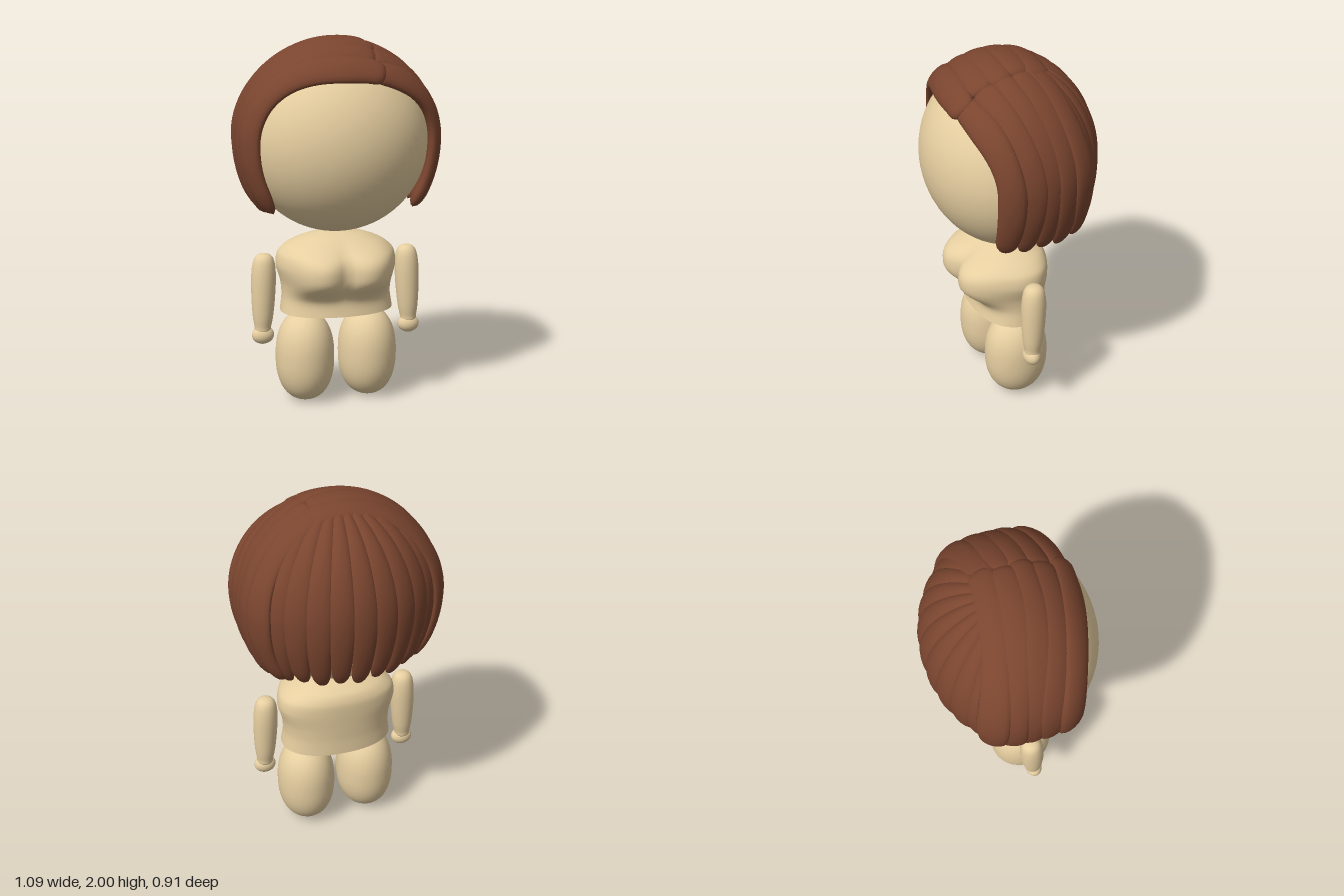
import * as THREE from 'three';
import { mergeVertices } from 'three/addons/utils/BufferGeometryUtils.js';

const skin = new THREE.MeshStandardMaterial({ color: 0xe6cea0 });
const hairMat = new THREE.MeshStandardMaterial({ color: 0x7a452f });

// Smooth grid surface from point(u, v); u runs along, v runs around
function surface(point, nu, nv) {
  const pos = [], idx = [];
  for (let i = 0; i <= nu; i++) {
    for (let j = 0; j <= nv; j++) {
      const p = point(i / nu, ((j % nv) / nv) * Math.PI * 2);
      pos.push(p.x, p.y, p.z);
      if (i < nu && j < nv) {
        const a = i * (nv + 1) + j, b = a + nv + 1;
        idx.push(a, b, a + 1, b, b + 1, a + 1);
      }
    }
  }
  let g = new THREE.BufferGeometry();
  g.setAttribute('position', new THREE.Float32BufferAttribute(pos, 3));
  g.setIndex(idx);
  g = mergeVertices(g, 1e-5);
  g.computeVertexNormals();
  return g;
}

function add(parent, name, geometry, material, x = 0, y = 0, z = 0) {
  const m = new THREE.Mesh(geometry, material);
  m.name = name;
  m.position.set(x, y, z);
  parent.add(m);
  return m;
}

// Hair shell: an ellipsoid whose lower half hangs straighter
const C = new THREE.Vector3(0, 1.46, 0.01);
const RX = 0.515, RY = 0.505, RLOW = 0.62, RZ = 0.437, DROP = 0.365;
const vertical = (c) => (c > 0 ? RY : RLOW) * c;
const smooth = THREE.MathUtils.smoothstep;
const lerp = THREE.MathUtils.lerp;
const slice = (z, e) => (1 - Math.abs(z / RZ) ** e) ** (1 / e);

function shellNormal(p) {
  const d = p.clone().sub(C), ry = d.y > 0 ? RY : RLOW;
  return new THREE.Vector3(d.x / RX ** 2, d.y / ry ** 2, d.z / RZ ** 2).normalize();
}

// Flattened lock with rounded ends, following a path on the shell
function lock(path, width, thick, lift) {
  return surface((t, v) => {
    const p = path(t), n = shellNormal(p);
    const tan = path(Math.min(1, t + 0.01)).sub(path(Math.max(0, t - 0.01))).normalize();
    const side = tan.clone().cross(n).normalize();
    const start = Math.sqrt(1 - (1 - Math.min(1, t / 0.05)) ** 2);
    const tip = Math.sqrt(Math.max(0, 1 - Math.max(0, (t - 0.9) / 0.1) ** 2));
    const k = start * tip;
    return p.addScaledVector(side, Math.cos(v) * width(t) * k)
      .addScaledVector(n, Math.sin(v) * thick * k + lift * (1 - t));
  }, 56, 16);
}

// Path from the parting over the side of the head, sign +1 left, -1 right
function sidePath(sign, partX, zTop, zEnd, hem) {
  const sTop = slice(zTop, 2.7), sEnd = slice(zEnd, 2);
  const from = Math.asin(partX / (RX * sTop));
  const to = sign * Math.acos(-(DROP + hem) / (RLOW * sEnd));
  return (t) => {
    const z = lerp(zTop, zEnd, sign > 0 ? smooth(t, -0.1, 0.65) : smooth(t, 0.12, 0.72));
    const a = lerp(from, to, t);
    return new THREE.Vector3(RX * slice(z, 2.7) * Math.sin(a),
      vertical(slice(z, 2) * Math.cos(a)), z).add(C);
  };
}

// Path from the crown down the back
function backPath(theta, hem) {
  const end = Math.acos(-(DROP + hem) / RLOW);
  return (t) => {
    const a = lerp(0.18, end, t);
    return new THREE.Vector3(RX * Math.sin(a) * Math.sin(theta), vertical(Math.cos(a)),
      -RZ * Math.sin(a) * Math.cos(theta)).add(C);
  };
}

function buildHair() {
  const hair = new THREE.Group();
  hair.name = 'hair';
  // Under layer behind the locks
  const cap = add(hair, 'hairUnderlayer',
    new THREE.SphereGeometry(1, 40, 20, 0, Math.PI * 2, 0, 1.15), hairMat, C.x, C.y, C.z);
  cap.geometry.rotateX(-0.5);
  cap.geometry.scale(0.505, 0.5, 0.43);

  // Back locks fanning out from the crown
  const backCount = 11;
  for (let i = 0; i < backCount; i++) {
    const k = i / (backCount - 1) * 2 - 1;
    const hem = i % 2 ? 0.015 : 0;
    add(hair, 'backLock', lock(backPath(k * 1.15, hem),
      (t) => 0.022 + 0.052 * Math.sin(Math.min(1, t * 1.25) * Math.PI / 2) - 0.026 * smooth(t, 0.6, 1),
      0.028, 0), hairMat);
  }

  // Side locks swept both ways from the parting, the front ones fuller
  const sideCount = 5;
  for (const sign of [1, -1]) {
    for (let i = 0; i < sideCount; i++) {
      const k = i / (sideCount - 1);
      const front = i === 0 ? 1 : 0;
      const path = sidePath(sign, sign > 0 ? 0.13 : 0.19 - 0.02 * (i % 2),
        lerp(0.29, -0.1, k), lerp(0.185, -0.215, k), (i % 2) * 0.012);
      const w = sign > 0 ? 0.076 : 0.082;
      add(hair, sign > 0 ? 'leftSideLock' : 'rightSideLock', lock(path,
        (t) => w * (0.88 + 0.12 * smooth(t, 0, 0.25)) - 0.024 * smooth(t, 0.6, 1)
          + 0.005 * Math.sin(t * 9 + i * 2),
        0.029 + 0.006 * front, sign > 0 ? 0 : 0.006 + 0.008 * front), hairMat);
    }
  }
  return hair;
}

// Torso rows: height, half width, back z, front z
const ROWS = [
  [0.515, 0.313, -0.175, 0.23], [0.6, 0.302, -0.173, 0.215], [0.68, 0.308, -0.176, 0.21],
  [0.77, 0.332, -0.18, 0.21], [0.84, 0.32, -0.178, 0.2], [0.89, 0.262, -0.155, 0.175],
  [0.93, 0.165, -0.09, 0.13], [0.95, 0.07, -0.02, 0.07], [0.955, 0, 0.025, 0.025]];
const heights = new THREE.CatmullRomCurve3(
  ROWS.map((r) => new THREE.Vector3(0, r[0], 0)), false, 'catmullrom', 0.4);
const sections = new THREE.CatmullRomCurve3(
  ROWS.map((r) => new THREE.Vector3(r[1], r[2], r[3])), false, 'catmullrom', 0.4);

function torsoPoint(u, v) {
  const s = sections.getPoint(u), y = heights.getPoint(u).y;
  const round = (c) => Math.sign(c) * Math.abs(c) ** 0.9;
  const x = s.x * round(Math.cos(v));
  let z = (s.y + s.z) / 2 + (s.z - s.y) / 2 * round(Math.sin(v));
  // Two broad rounded chest bulges on the front
  const dx = Math.abs(Math.abs(x) - 0.135) / 0.17, dy = Math.abs(y - 0.762) / 0.125;
  const bulge = Math.exp(-(dx ** 2.2) - dy ** 3.2);
  z += 0.132 * bulge * smooth(Math.sin(v), 0, 0.75);
  return new THREE.Vector3(x, y, z);
}

function buildArm(sign) {
  const arm = new THREE.Group();
  arm.name = sign > 0 ? 'leftArm' : 'rightArm';
  const profile = new THREE.SplineCurve([[0, 0.4], [0.04, 0.41], [0.046, 0.44], [0.056, 0.5],
    [0.064, 0.6], [0.067, 0.7], [0.063, 0.77], [0.052, 0.815], [0.031, 0.838], [0, 0.845]]
    .map(([r, y]) => new THREE.Vector2(r, y - 0.6)));
  const pts = profile.getPoints(40).map((p) => new THREE.Vector2(Math.max(0, p.x), p.y));
  const limb = add(arm, 'armLimb', new THREE.LatheGeometry(pts, 28), skin, sign * 0.409, 0.6, 0.033);
  limb.rotation.set(-0.03, 0, sign * 0.035);
  const hand = add(arm, 'hand', new THREE.SphereGeometry(1, 28, 18), skin, sign * 0.415, 0.39, 0.043);
  hand.scale.set(0.061, 0.05, 0.047);
  return arm;
}

export function createModel() {
  const model = new THREE.Group();
  model.name = 'figure';

  const head = add(model, 'head', new THREE.SphereGeometry(1, 56, 40), skin, 0, 1.445, 0.03);
  head.scale.set(0.495, 0.49, 0.427);
  model.add(buildHair());

  add(model, 'torso', surface(torsoPoint, 48, 64), skin);
  add(model, 'torsoBase', surface((u, v) => {
    const p = torsoPoint(0, v);
    return new THREE.Vector3(p.x * u, p.y, lerp(0.03, p.z, u));
  }, 1, 64), skin);

  // Rounded capsule-like legs
  const legPts = [];
  for (let i = 0; i <= 32; i++) {
    const a = (i / 32 - 0.5) * Math.PI, e = 2 / 2.35;
    legPts.push(new THREE.Vector2(Math.max(0, Math.cos(a)) ** e,
      Math.sign(Math.sin(a)) * Math.abs(Math.sin(a)) ** e));
  }
  for (const sign of [1, -1]) {
    model.add(buildArm(sign));
    const leg = add(model, sign > 0 ? 'leftLeg' : 'rightLeg',
      new THREE.LatheGeometry(legPts, 36), skin, sign * 0.178, 0.25, 0.028);
    leg.scale.set(0.162, 0.25, 0.178);
  }
  return model;
}
